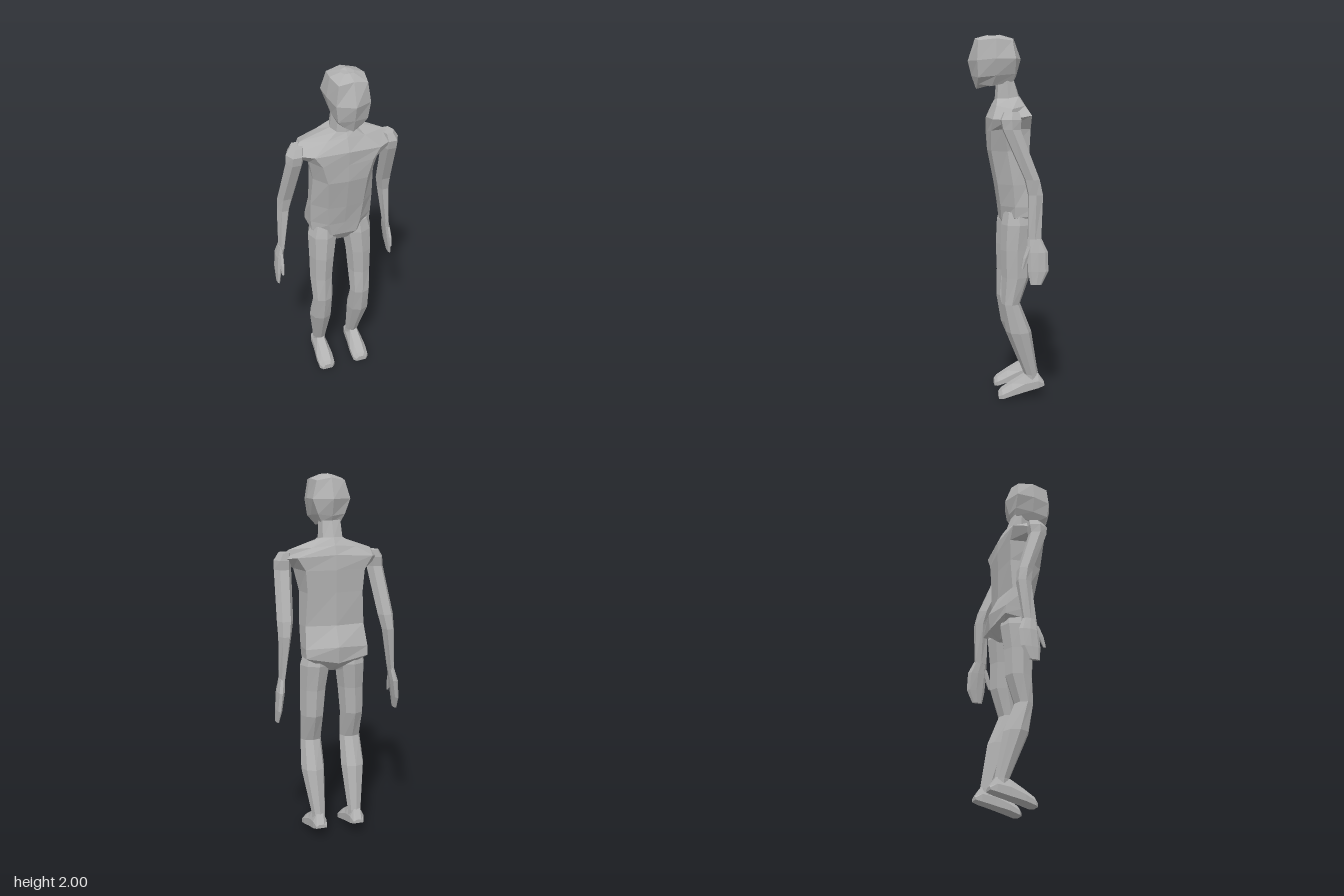
import * as THREE from 'three';

const grey = new THREE.MeshStandardMaterial({ color: 0xb2b2b2, flatShading: true });
grey.name = 'plain grey';

// Skins a list of closed rings (arrays of [x, y, z]) and caps both ends
function loft(name, rings) {
  const n = rings[0].length;
  const tris = [];
  const centre = (r) => [0, 1, 2].map((k) => r.reduce((s, p) => s + p[k], 0) / n);
  for (let i = 0; i < rings.length - 1; i++) {
    for (let j = 0; j < n; j++) {
      const k = (j + 1) % n;
      const a = rings[i][j], b = rings[i][k], c = rings[i + 1][k], d = rings[i + 1][j];
      tris.push([a, b, c], [a, c, d]);
    }
  }
  const first = rings[0], last = rings[rings.length - 1];
  const c0 = centre(first), c1 = centre(last);
  for (let j = 0; j < n; j++) {
    const k = (j + 1) % n;
    tris.push([c0, first[k], first[j]], [c1, last[j], last[k]]);
  }
  // Turn all faces outward, judged by the sign of the volume about a point inside
  const o = new THREE.Vector3(...c0);
  let volume = 0;
  for (const t of tris) {
    const [a, b, c] = t.map((p) => new THREE.Vector3(...p).sub(o));
    volume += a.dot(b.cross(c));
  }
  if (volume < 0) tris.forEach((t) => t.reverse());
  const geometry = new THREE.BufferGeometry();
  geometry.setAttribute('position', new THREE.Float32BufferAttribute(tris.flat(2), 3));
  geometry.computeVertexNormals();
  const mesh = new THREE.Mesh(geometry, grey);
  mesh.name = name;
  return mesh;
}

// Completes a half section running from front centre to back centre
const mirrored = (half) => [...half, ...half.slice(1, -1).reverse().map(([x, y, z]) => [-x, y, z])];

// Level oval section
function oval([x, y, z, rx, rz], sides = 8) {
  return Array.from({ length: sides }, (_, i) => {
    const a = (i / sides) * Math.PI * 2;
    return [x + rx * Math.cos(a), y, z + rz * Math.sin(a)];
  });
}

// Upright foot section
const footSection = (x, [z, w, bottom, top]) => [
  [x - w, bottom, z], [x + w, bottom, z], [x + w, bottom + (top - bottom) * 0.5, z],
  [x + w * 0.5, top, z], [x - w * 0.5, top, z], [x - w, bottom + (top - bottom) * 0.5, z],
];

// Half sections: front centre, front corner, side, back corner, back centre
const torso = [
  [[0, 0.94, -0.01], [0.03, 0.94, -0.01], [0.045, 0.95, -0.06], [0.03, 0.95, -0.11], [0, 0.95, -0.11]],
  [[0, 1.0, 0.03], [0.07, 1.0, 0.03], [0.17, 1.02, -0.03], [0.175, 1.03, -0.145], [0, 1.0, -0.17]],
  [[0, 1.08, 0.04], [0.09, 1.08, 0.038], [0.175, 1.08, -0.03], [0.175, 1.08, -0.14], [0, 1.09, -0.178]],
  [[0, 1.2, 0.065], [0.1, 1.2, 0.055], [0.178, 1.2, -0.02], [0.165, 1.2, -0.1], [0, 1.2, -0.125]],
  [[0, 1.38, 0.1], [0.11, 1.38, 0.09], [0.17, 1.38, 0.01], [0.155, 1.38, -0.11], [0, 1.38, -0.125]],
  [[0, 1.48, 0.102], [0.14, 1.49, 0.095], [0.195, 1.5, 0.03], [0.165, 1.5, -0.115], [0, 1.5, -0.13]],
  [[0, 1.56, 0.107], [0.18, 1.55, 0.09], [0.29, 1.55, 0.02], [0.21, 1.57, -0.115], [0, 1.58, -0.125]],
  [[0, 1.63, 0.075], [0.1, 1.62, 0.06], [0.23, 1.605, -0.01], [0.12, 1.62, -0.09], [0, 1.63, -0.105]],
  [[0, 1.655, 0.06], [0.05, 1.66, 0.05], [0.07, 1.66, -0.01], [0.055, 1.67, -0.065], [0, 1.67, -0.08]],
];
const neck = [
  [[0, 1.64, 0.06], [0.05, 1.65, 0.05], [0.068, 1.65, -0.01], [0.055, 1.66, -0.065], [0, 1.66, -0.08]],
  [[0, 1.77, 0.05], [0.045, 1.77, 0.042], [0.06, 1.77, 0], [0.05, 1.77, -0.035], [0, 1.77, -0.043]],
];
const head = [
  [[0, 1.71, 0.16], [0.045, 1.735, 0.15], [0.055, 1.725, 0.08], [0.055, 1.75, -0.035], [0, 1.75, -0.045]],
  [[0, 1.78, 0.185], [0.078, 1.77, 0.155], [0.085, 1.78, 0.06], [0.075, 1.79, -0.045], [0, 1.78, -0.06]],
  [[0, 1.86, 0.205], [0.09, 1.86, 0.162], [0.107, 1.87, 0.06], [0.105, 1.87, -0.045], [0, 1.87, -0.085]],
  [[0, 1.98, 0.165], [0.075, 1.965, 0.155], [0.09, 1.975, 0.06], [0.078, 1.965, -0.03], [0, 1.98, -0.045]],
  [[0, 1.997, 0.1], [0.025, 1.994, 0.095], [0.035, 1.994, 0.065], [0.025, 1.994, 0.035], [0, 2.0, 0.03]],
];

// Limb sections: x, y, z, half width, half depth
const arm = [
  [0.25, 1.59, 0, 0.035, 0.045], [0.262, 1.55, 0.005, 0.048, 0.06], [0.262, 1.5, 0.002, 0.048, 0.052],
  [0.28, 1.24, -0.105, 0.045, 0.043], [0.287, 1.16, -0.122, 0.036, 0.043], [0.305, 0.92, -0.115, 0.016, 0.04],
];
const hand = [
  [0.305, 0.93, -0.115, 0.016, 0.038], [0.318, 0.86, -0.13, 0.02, 0.055],
  [0.33, 0.76, -0.132, 0.015, 0.054], [0.336, 0.69, -0.12, 0.009, 0.03],
];
const thumb = [[0.314, 0.89, -0.09, 0.012, 0.02], [0.318, 0.83, -0.065, 0.012, 0.015], [0.32, 0.775, -0.05, 0.007, 0.008]];
const leg = [
  [0.095, 1.05, -0.055, 0.07, 0.075], [0.1, 0.98, -0.055, 0.086, 0.09], [0.11, 0.84, -0.043, 0.075, 0.083],
  [0.116, 0.69, -0.043, 0.067, 0.077], [0.116, 0.54, -0.015, 0.06, 0.052], [0.118, 0.38, -0.06, 0.067, 0.07],
  [0.107, 0.13, -0.132, 0.039, 0.039], [0.107, 0.09, -0.135, 0.038, 0.038],
];
// Foot sections from heel to toe: z, half width, bottom, top
const foot = [
  [-0.203, 0.03, 0.065, 0.085], [-0.168, 0.04, 0.055, 0.135], [-0.095, 0.043, 0.038, 0.13],
  [-0.02, 0.05, 0.02, 0.085], [0.035, 0.047, 0.003, 0.05], [0.052, 0.03, 0, 0.032],
];

export function createModel() {
  const model = new THREE.Group();
  model.name = 'standingFigure';
  const body = new THREE.Group();
  body.name = 'body';
  body.position.x = 0.02;
  model.add(body);

  body.add(loft('torso', torso.map(mirrored)), loft('neck', neck.map(mirrored)), loft('head', head.map(mirrored)));

  for (const side of [1, -1]) {
    const label = side > 0 ? 'left' : 'right';
    // The right arm hangs slightly further out and forward
    const pose = ([x, y, z, rx, rz]) => {
      const t = side < 0 ? Math.max(0, (1.58 - y) / 0.9) : 0;
      return [side * (x + 0.035 * Math.min(1, 1.5 * t)), y, z + 0.06 * t, rx, rz];
    };
    const limb = (part, rows, sides) => loft(label + part, rows.map((r) => oval(pose(r), sides)));
    body.add(limb('Arm', arm, 6), limb('Hand', hand, 8), limb('Thumb', thumb, 6));
    body.add(loft(label + 'Leg', leg.map(([x, ...rest]) => oval([side * x, ...rest]))));
    body.add(loft(label + 'Foot', foot.map((s) => footSection(side * 0.11, s))));
  }
  return model;
}
